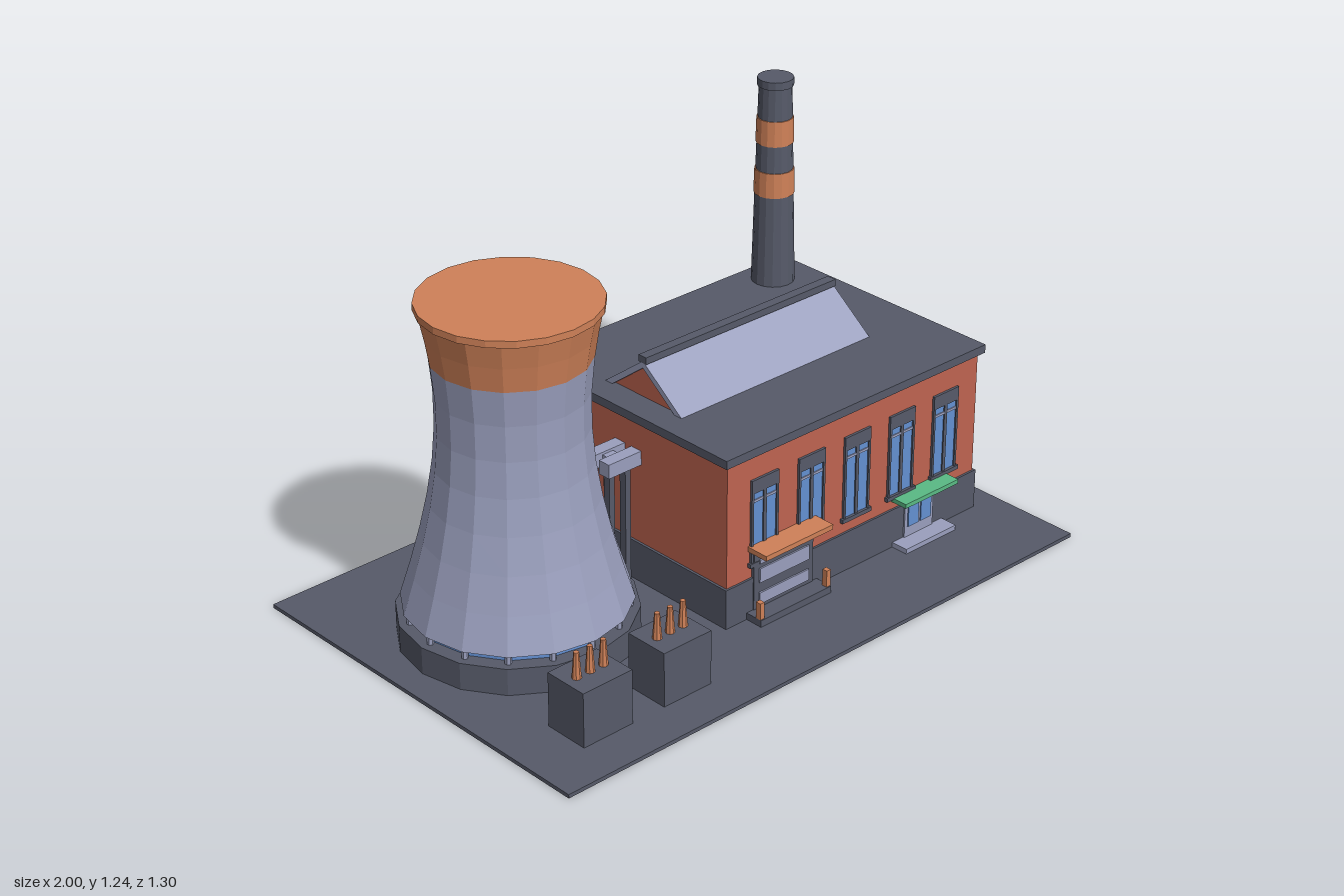
import * as THREE from 'three';

const mat = (name, color, extra = {}) => {
  const m = new THREE.MeshStandardMaterial({ color, flatShading: true, ...extra });
  m.name = name;
  return m;
};

export function createModel() {
  const slate = mat('slate', 0x565a69);
  const brick = mat('brick', 0xbf6450);
  const steel = mat('paleSteel', 0x9a9fbd, { side: THREE.DoubleSide });
  const orange = mat('orange', 0xcf8158);
  const glass = mat('blueGlass', 0x6490d2);
  const green = mat('green', 0x5aba85);
  const root = new THREE.Group();
  root.name = 'powerPlant';

  const add = (parent, name, geo, material, x = 0, y = 0, z = 0) => {
    const m = new THREE.Mesh(geo, material);
    m.name = name;
    m.position.set(x, y, z);
    parent.add(m);
    return m;
  };
  // Box given by its min and max along each axis
  const box = (parent, name, material, x0, x1, y0, y1, z0, z1) =>
    add(parent, name, new THREE.BoxGeometry(x1 - x0, y1 - y0, z1 - z0), material,
      (x0 + x1) / 2, (y0 + y1) / 2, (z0 + z1) / 2);
  // Upright cylinder between two heights
  const cyl = (parent, name, material, rTop, rBottom, y0, y1, x, z, sides = 16) =>
    add(parent, name, new THREE.CylinderGeometry(rTop, rBottom, y1 - y0, sides), material, x, (y0 + y1) / 2, z);
  const group = (name, parent = root) => {
    const g = new THREE.Group();
    g.name = name;
    parent.add(g);
    return g;
  };

  box(root, 'ground', slate, -1, 1, 0, 0.012, -0.65, 0.65);

  // Cooling tower: hyperbolic shell on short posts above a water basin
  const tower = group('coolingTower');
  tower.position.set(-0.565, 0, -0.067);
  const radius = (y) => 0.218 * Math.hypot(1, (y - 0.72) / 0.51);
  const shell = (y0, y1, n) => new THREE.LatheGeometry(
    Array.from({ length: n + 1 }, (_, i) => {
      const y = y0 + (y1 - y0) * i / n;
      return new THREE.Vector2(radius(y), y);
    }), 16);
  cyl(tower, 'basin', slate, 0.35, 0.35, 0.01, 0.097, 0, 0);
  cyl(tower, 'water', glass, 0.305, 0.305, 0.09, 0.107, 0, 0);
  for (let i = 0; i < 16; i++) {
    const a = i / 16 * Math.PI * 2;
    cyl(tower, 'shellPost', steel, 0.01, 0.01, 0.09, 0.145, Math.sin(a) * 0.318, Math.cos(a) * 0.318, 6);
  }
  add(tower, 'shell', shell(0.125, 0.888, 7), steel);
  add(tower, 'upperShell', shell(0.888, 1.04, 2), orange);
  cyl(tower, 'rim', orange, 0.264, 0.264, 1.037, 1.058, 0, 0, 20);

  // Main hall
  const hall = group('hall');
  box(hall, 'plinth', slate, -0.137, 0.908, 0.01, 0.14, -0.503, 0.34);
  box(hall, 'walls', brick, -0.129, 0.9, 0.14, 0.54, -0.495, 0.333);
  box(hall, 'roofSlab', slate, -0.146, 0.916, 0.538, 0.565, -0.512, 0.348);

  // Gabled roof light along the hall
  const light = group('roofLight', hall);
  const zc = -0.085, half = 0.165, rise = 0.125, thick = 0.018;
  const tri = new THREE.Shape([[-0.148, 0], [0.148, 0], [0, 0.113]].map((p) => new THREE.Vector2(...p)));
  const gable = add(light, 'gable', new THREE.ExtrudeGeometry(tri, { depth: 0.74, bevelEnabled: false }),
    brick, -0.053, 0.564, zc);
  gable.rotation.y = Math.PI / 2;
  const slope = Math.atan2(rise, half);
  for (const s of [-1, 1]) {
    const panel = add(light, 'roofPanel', new THREE.BoxGeometry(0.766, thick, Math.hypot(half, rise)), steel,
      0.317, 0.563 + rise / 2 - Math.cos(slope) * thick / 2,
      zc + s * (half / 2 - Math.sin(slope) * thick / 2));
    panel.rotation.x = s * slope;
  }
  box(light, 'ridge', slate, -0.067, 0.7, 0.682, 0.704, zc - 0.016, zc + 0.016);

  // Five windows on each long side
  const makeWindow = (x, z, side) => {
    const w = group('window', hall);
    w.position.set(x, 0, z);
    if (side < 0) w.rotation.y = Math.PI;
    box(w, 'lintel', slate, -0.053, 0.053, 0.415, 0.458, -0.004, 0.008);
    box(w, 'sill', slate, -0.06, 0.06, 0.178, 0.191, -0.004, 0.012);
    for (const s of [-1, 1]) {
      box(w, 'jamb', slate, s * 0.049 - 0.004, s * 0.049 + 0.004, 0.19, 0.416, -0.004, 0.008);
      box(w, 'pane', glass, s * 0.026 - 0.021, s * 0.026 + 0.021, 0.19, 0.416, -0.002, 0.003);
    }
    box(w, 'mullion', slate, -0.006, 0.006, 0.19, 0.416, -0.004, 0.007);
    box(w, 'transom', steel, -0.045, 0.045, 0.385, 0.393, -0.002, 0.006);
  };
  for (let i = 0; i < 5; i++) {
    makeWindow(0.014 + i * 0.187, 0.333, 1);
    makeWindow(0.014 + i * 0.187, -0.495, -1);
  }

  // Loading door with canopy, platform and guard posts
  const dock = group('loadingDock');
  box(dock, 'doorFrame', slate, -0.03, 0.208, 0.03, 0.218, 0.33, 0.343);
  for (const [y0, y1] of [[0.048, 0.085], [0.118, 0.165], [0.181, 0.193], [0.205, 0.213]])
    box(dock, 'doorSlat', steel, -0.01, 0.188, y0, y1, 0.342, 0.348);
  box(dock, 'canopy', orange, -0.046, 0.222, 0.23, 0.246, 0.33, 0.408);
  box(dock, 'platform', slate, -0.055, 0.228, 0.01, 0.034, 0.33, 0.4);
  for (const x of [-0.047, 0.221]) box(dock, 'guardPost', orange, x - 0.008, x + 0.008, 0.034, 0.088, 0.378, 0.396);

  // Entrance with step and canopy
  const entrance = group('entrance');
  box(entrance, 'step', steel, 0.548, 0.762, 0.01, 0.028, 0.33, 0.398);
  box(entrance, 'doorFrame', steel, 0.594, 0.716, 0.028, 0.166, 0.33, 0.345);
  for (const x of [0.628, 0.682]) box(entrance, 'doorPane', glass, x - 0.022, x + 0.022, 0.062, 0.152, 0.344, 0.349);
  box(entrance, 'canopy', green, 0.543, 0.77, 0.167, 0.181, 0.33, 0.394);

  box(root, 'rearDoor', slate, 0.66, 0.885, 0.01, 0.108, -0.517, -0.5);

  // Chimney with two painted bands
  const stack = group('chimney');
  const cr = (y) => 0.068 - 0.017 * (y - 0.56) / 0.65;
  cyl(stack, 'flue', slate, cr(1.215), cr(0.56), 0.56, 1.215, 0.775, -0.412);
  cyl(stack, 'cap', slate, 0.056, 0.056, 1.21, 1.235, 0.775, -0.412);
  for (const [y0, y1] of [[0.86, 0.94], [1.027, 1.108]])
    cyl(stack, 'band', orange, cr(y1) + 0.003, cr(y0) + 0.003, y0, y1, 0.775, -0.412);

  // Twin ducts on legs between tower and hall
  const bridge = group('ductBridge');
  for (const z of [-0.115, -0.045]) {
    box(bridge, 'duct', steel, -0.253, -0.128, 0.398, 0.443, z - 0.021, z + 0.021);
    for (const x of [-0.234, -0.173]) box(bridge, 'leg', slate, x - 0.01, x + 0.01, 0.01, 0.4, z - 0.012, z + 0.012);
  }
  box(bridge, 'crossLink', steel, -0.215, -0.175, 0.403, 0.435, -0.1, -0.06);

  // Transformers with three insulators each
  for (const x of [-0.74, -0.448]) {
    const t = group('transformer');
    box(t, 'tank', slate, x - 0.088, x + 0.088, 0.01, 0.184, 0.37, 0.515);
    for (const d of [-0.048, 0, 0.048]) cyl(t, 'insulator', orange, 0.008, 0.014, 0.184, 0.266, x + d, 0.443, 8);
  }

  return root;
}
